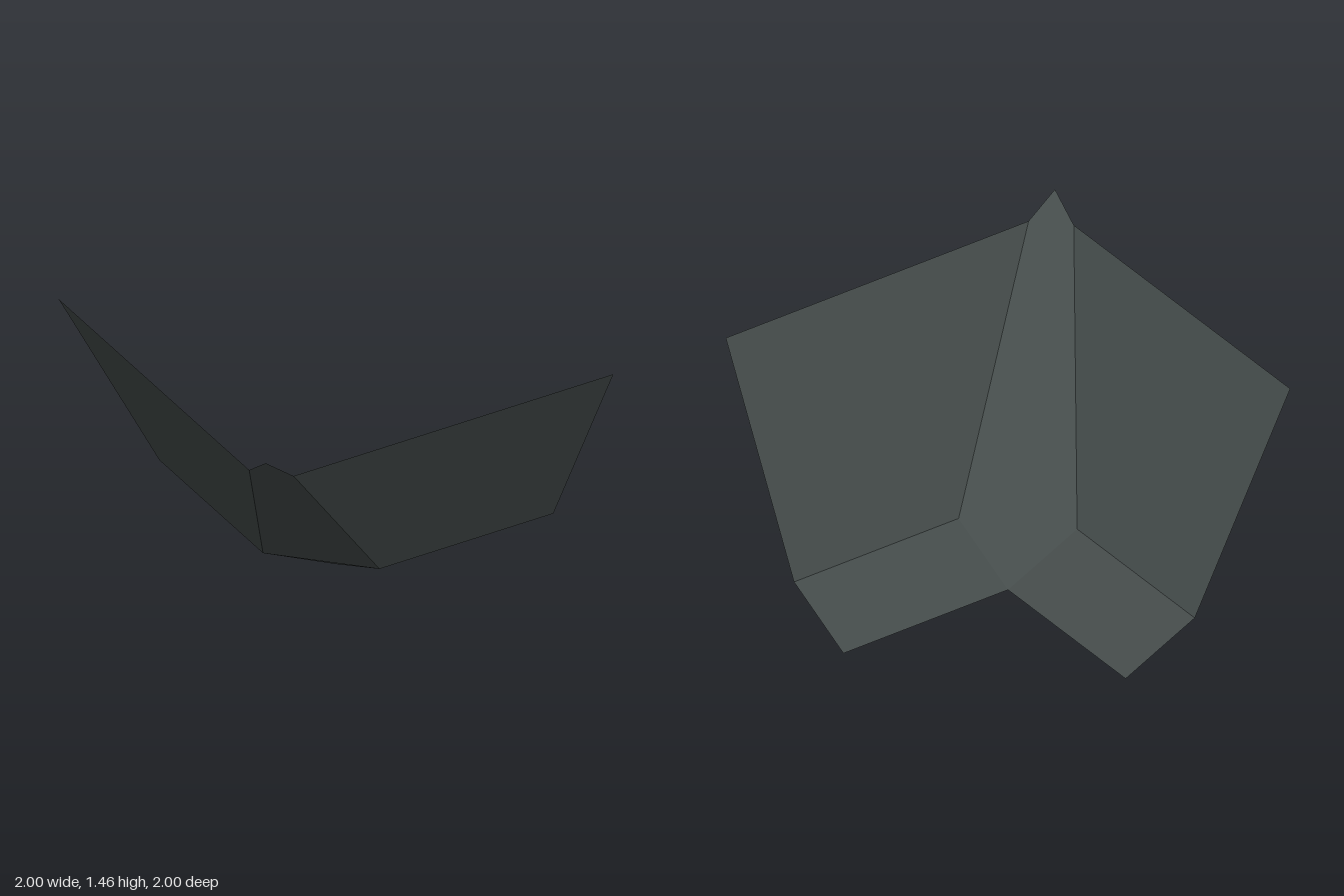
import * as THREE from 'three';

const slate = new THREE.MeshStandardMaterial({ color: 0x444b4a, side: THREE.DoubleSide, flatShading: true });
slate.name = 'darkSlate';

// Flat convex panel, corners listed counter-clockwise seen from above
function panel(name, points) {
  const index = [];
  for (let i = 1; i < points.length - 1; i++) index.push(0, i, i + 1);
  const geometry = new THREE.BufferGeometry();
  geometry.setAttribute('position', new THREE.Float32BufferAttribute(points.flat(), 3));
  geometry.setIndex(index);
  geometry.computeVertexNormals();
  const mesh = new THREE.Mesh(geometry, slate);
  mesh.name = name;
  return mesh;
}

// Mirror across the diagonal plane of the corner, keeping faces upward
const swap = ([x, y, z]) => [-z, y, -x];
const mirror = (points) => points.map(swap).reverse();

export function createModel() {
  const group = new THREE.Group();
  group.name = 'cornerSlope';

  const foot = [0, 0, 0];
  const knee = [0, 0.2, 0.42];
  const rim = [-0.84, 1.33, 1];
  const peak = [-1, 1.457, 1];

  // Straight arms: shallow lower strip and steep upper bank
  const strip = [foot, knee, [1, 0.2, 0.42], [1, 0, 0]];
  const bank = [knee, rim, [1, 1.33, 1], [1, 0.2, 0.42]];
  group.add(panel('frontLowerStrip', strip), panel('frontBank', bank));
  group.add(panel('sideLowerStrip', mirror(strip)), panel('sideBank', mirror(bank)));

  // Diagonal corner joining the two arms
  group.add(panel('cornerLowerStrip', [foot, swap(knee), knee]));
  group.add(panel('cornerBank', [knee, swap(knee), swap(rim), peak, rim]));
  return group;
}
